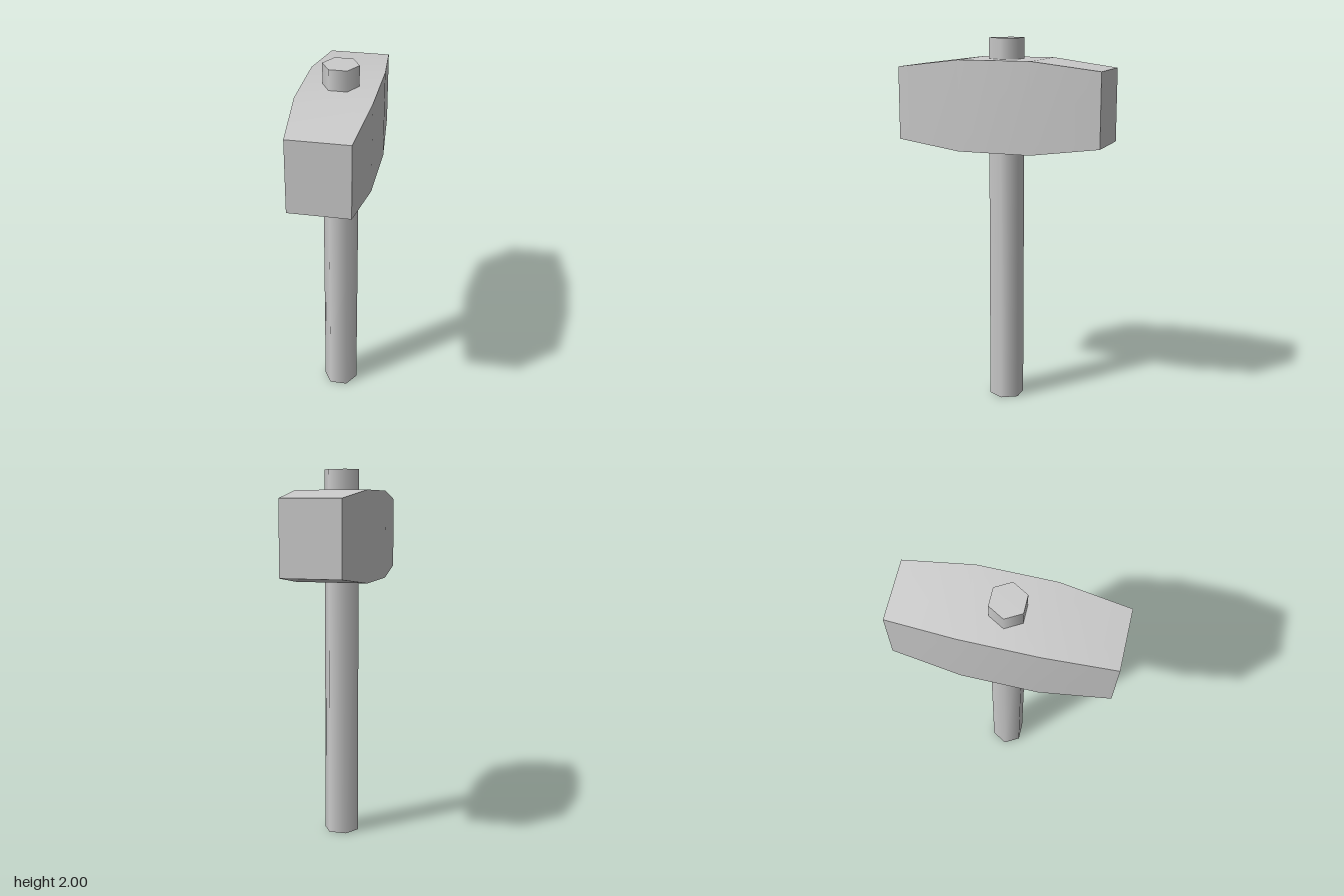
import * as THREE from 'three';

export function createModel() {
  const group = new THREE.Group();
  const material = new THREE.MeshStandardMaterial({ color: 0xcccccc });

  // Hexagonal handle with softly shaded sides, corners pointing along x
  const handle = new THREE.Mesh(
    new THREE.CylinderGeometry(0.095, 0.095, 2, 6, 1, false, Math.PI / 2),
    material
  );
  handle.name = 'handle';
  handle.position.y = 1;
  group.add(handle);

  // Hammer head: a box in three sections, the outer two tapering to the striking faces
  const headGeometry = new THREE.BoxGeometry(0.39, 0.48, 1.125, 1, 1, 3);
  const pos = headGeometry.attributes.position;
  for (let i = 0; i < pos.count; i++) {
    const z = pos.getZ(i);
    if (Math.abs(z) > 0.5) {
      pos.setX(i, Math.sign(pos.getX(i)) * 0.16);
      pos.setY(i, Math.sign(pos.getY(i)) * 0.195);
    } else {
      pos.setZ(i, Math.sign(z) * 0.2);
    }
  }
  // Each box side keeps its own vertices, so the long edges stay sharp
  headGeometry.computeVertexNormals();
  const head = new THREE.Mesh(headGeometry, material);
  head.name = 'hammerHead';
  head.position.y = 1.65;
  group.add(head);

  return group;
}
